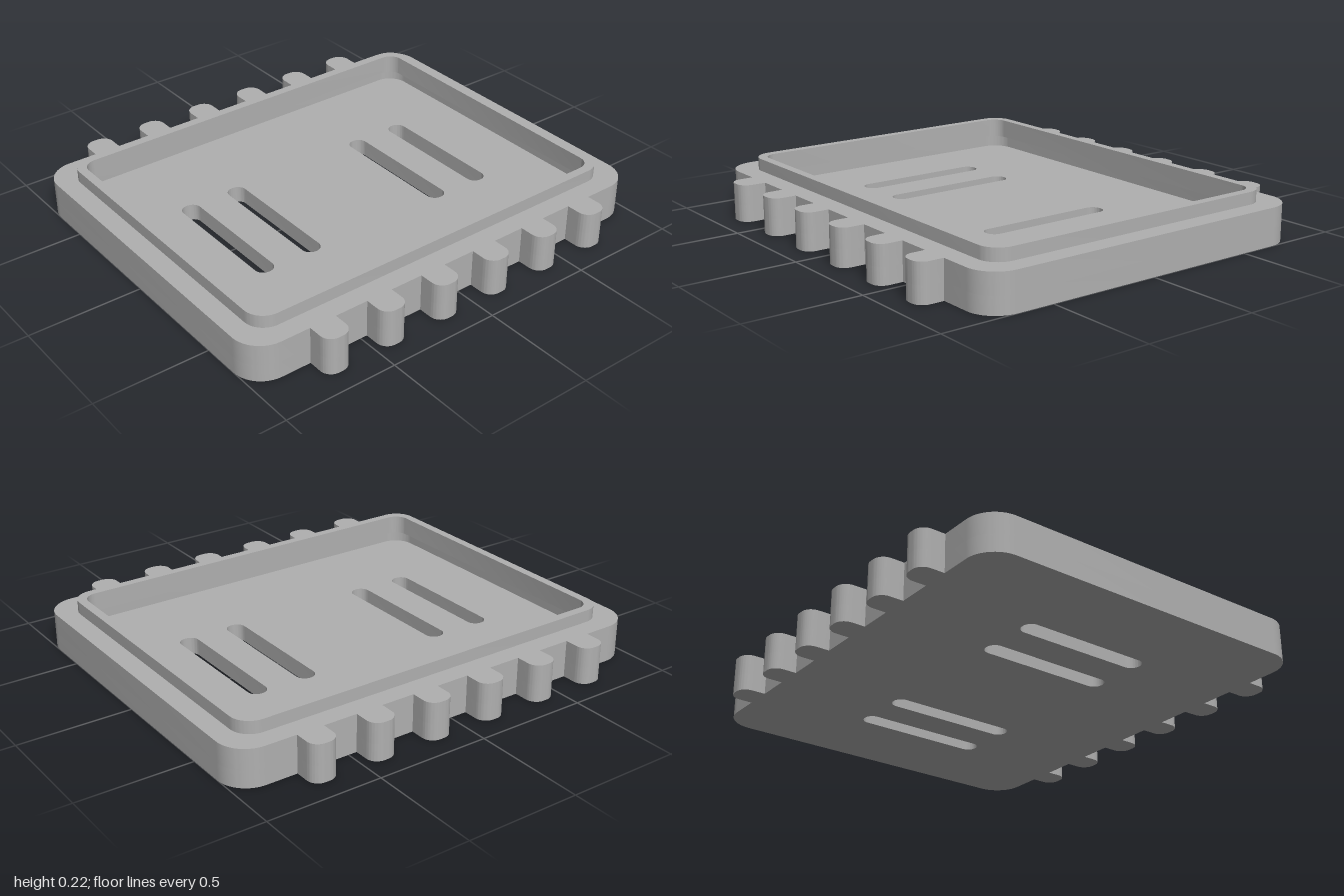
import * as THREE from 'three';
import { toCreasedNormals } from 'three/addons/utils/BufferGeometryUtils.js';

const FLOOR = 0.075, WALL_TOP = 0.165, LIP_BOTTOM = 0.135, LIP_TOP = 0.22;
const HALF_X = 1, HALF_Z = 0.797, CORNER = 0.13;
const LUG_END = 0.907, LUG_HALF = 0.06, LUG_ROUND = 0.05;
const lugX = Array.from({ length: 6 }, (_, i) => -0.68 + i * 0.2706);

// Rounded rectangle centred on (cx, 0)
function roundedRect(path, hx, hy, r, cx = 0) {
  path.absarc(cx + hx - r, hy - r, r, 0, Math.PI / 2);
  path.absarc(cx - hx + r, hy - r, r, Math.PI / 2, Math.PI);
  path.absarc(cx - hx + r, -hy + r, r, Math.PI, Math.PI * 1.5);
  path.absarc(cx + hx - r, -hy + r, r, Math.PI * 1.5, Math.PI * 2);
  path.closePath();
  return path;
}

// Body outline: rounded rectangle with a row of lugs along the front and back
function bodyOutline() {
  const s = new THREE.Shape();
  const q = Math.PI / 2;
  for (const side of [1, -1]) {
    const a = side > 0 ? 0 : Math.PI;
    s.absarc(side * (HALF_X - CORNER), side * (HALF_Z - CORNER), CORNER, a, a + q);
    const row = side > 0 ? [...lugX].reverse() : lugX;
    for (const x of row) {
      const inner = LUG_HALF - LUG_ROUND;
      s.lineTo(x + side * LUG_HALF, side * HALF_Z);
      s.absarc(x + side * inner, side * (LUG_END - LUG_ROUND), LUG_ROUND, a, a + q);
      s.absarc(x - side * inner, side * (LUG_END - LUG_ROUND), LUG_ROUND, a + q, a + 2 * q);
      s.lineTo(x - side * LUG_HALF, side * HALF_Z);
    }
    s.absarc(-side * (HALF_X - CORNER), side * (HALF_Z - CORNER), CORNER, a + q, a + 2 * q);
  }
  s.closePath();
  return s;
}

// Extrude a plan shape upward between two heights
function slab(name, shape, y0, y1, material) {
  const g = new THREE.ExtrudeGeometry(shape, { depth: y1 - y0, bevelEnabled: false, curveSegments: 10 });
  g.rotateX(-Math.PI / 2);
  g.translate(0, y0, 0);
  const mesh = new THREE.Mesh(toCreasedNormals(g, 0.6), material);
  mesh.name = name;
  return mesh;
}

export function createModel() {
  const group = new THREE.Group();
  group.name = 'slottedTray';
  const grey = new THREE.MeshStandardMaterial({ color: 0xb0b0b0 });
  grey.name = 'grey plastic';

  // Floor with four long slots
  const floor = bodyOutline();
  for (const x of [-0.578, -0.342, 0.338, 0.573]) {
    floor.holes.push(roundedRect(new THREE.Path(), 0.042, 0.308, 0.04, x));
  }
  group.add(slab('floor', floor, 0, FLOOR, grey));

  // Outer wall around the cavity
  const wall = bodyOutline();
  wall.holes.push(roundedRect(new THREE.Path(), 0.912, 0.709, 0.09));
  group.add(slab('wall', wall, FLOOR, WALL_TOP, grey));

  // Thin raised lip, reaching down inside the wall
  const lip = roundedRect(new THREE.Shape(), 0.912, 0.709, 0.09);
  lip.holes.push(roundedRect(new THREE.Path(), 0.873, 0.67, 0.06));
  group.add(slab('lip', lip, LIP_BOTTOM, LIP_TOP, grey));

  return group;
}
